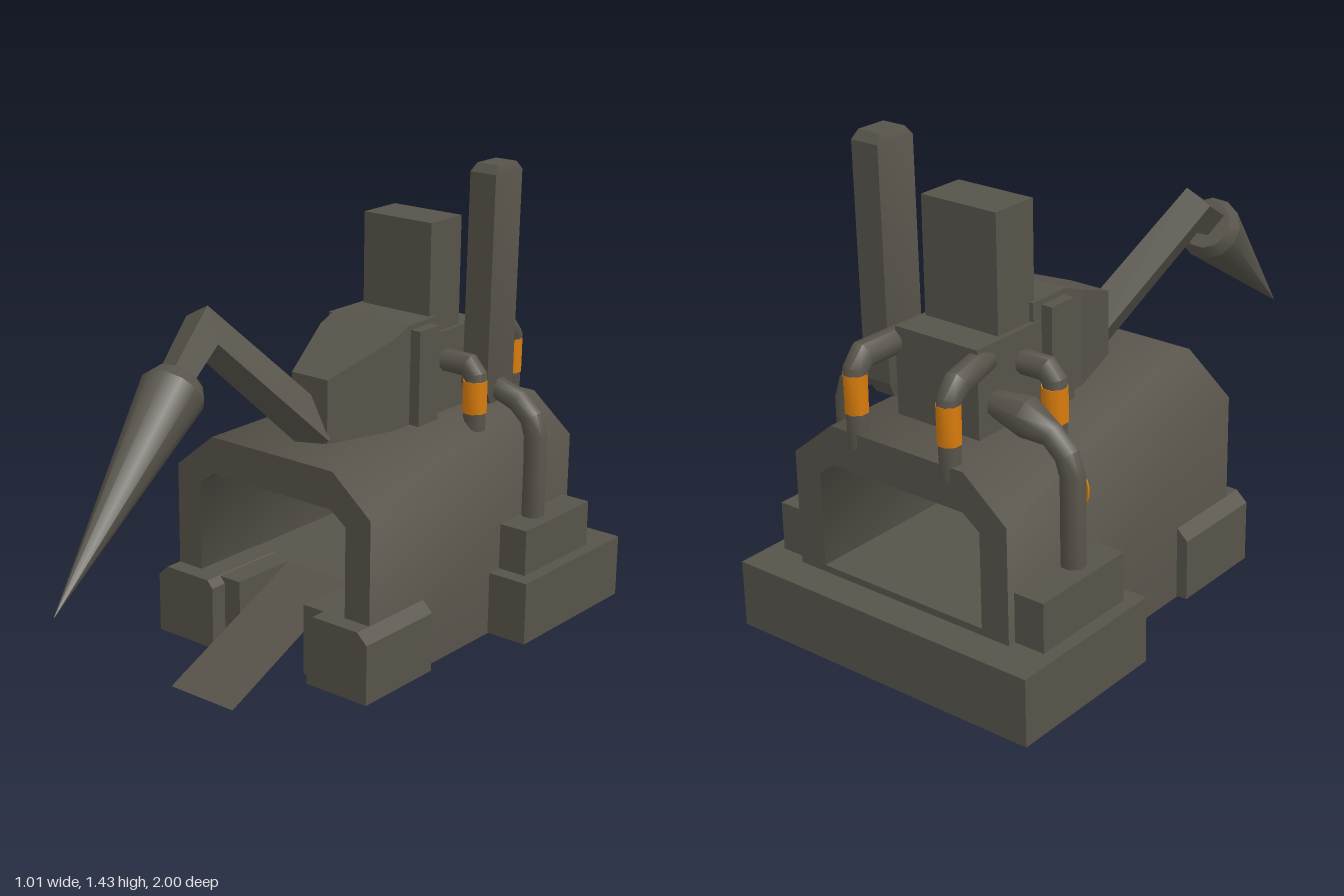
import * as THREE from 'three';
import { toCreasedNormals } from 'three/addons/utils/BufferGeometryUtils.js';

const V = (x, y, z) => new THREE.Vector3(x, y, z);

export function createModel() {
  const group = new THREE.Group();
  const metal = new THREE.MeshStandardMaterial({ color: 0x57534a });
  metal.name = 'darkMetal';
  const orange = new THREE.MeshStandardMaterial({ color: 0xd97c0c });
  orange.name = 'glowOrange';
  const thinMetal = new THREE.MeshStandardMaterial({ color: 0x57534a, side: THREE.DoubleSide });
  thinMetal.name = 'rampMetal';

  function add(name, geometry, material = metal, crease = 0.4) {
    const mesh = new THREE.Mesh(toCreasedNormals(geometry, crease), material);
    mesh.name = name;
    group.add(mesh);
    return mesh;
  }

  // Box given by its extents
  function box(name, x0, x1, y0, y1, z0, z1) {
    const g = new THREE.BoxGeometry(x1 - x0, y1 - y0, z1 - z0);
    g.translate((x0 + x1) / 2, (y0 + y1) / 2, (z0 + z1) / 2);
    return add(name, g);
  }

  // Rectangular sections along z: [z, x0, x1, y0, y1]
  function sectioned(sections) {
    const n = sections.length - 1;
    const g = new THREE.BoxGeometry(1, 1, n, 1, 1, n);
    const p = g.attributes.position;
    for (let i = 0; i < p.count; i++) {
      const [z, x0, x1, y0, y1] = sections[Math.round(p.getZ(i) + n / 2)];
      p.setXYZ(i, p.getX(i) < 0 ? x0 : x1, p.getY(i) < 0 ? y0 : y1, z);
    }
    return g;
  }

  // Polygon section swept along points with mitred bends; ref is the bend plane normal
  function loft(points, radii, sides, ref) {
    const pos = [], index = [], last = points.length - 1;
    points.forEach((p, i) => {
      const a = points[Math.max(i - 1, 0)], b = points[Math.min(i + 1, last)];
      const before = p.clone().sub(a).normalize(), after = b.clone().sub(p).normalize();
      const t = before.clone().add(after).normalize();
      const mitre = i === 0 || i === last ? 1 : 1 / t.dot(after);
      const s = ref.clone().addScaledVector(t, -ref.dot(t)).normalize();
      const n = t.clone().cross(s);
      for (let j = 0; j < sides; j++) {
        const angle = ((j + 0.5) / sides) * Math.PI * 2;
        pos.push(...p.clone().addScaledVector(s, radii[i] * Math.cos(angle))
          .addScaledVector(n, radii[i] * mitre * Math.sin(angle)).toArray());
      }
    });
    for (let i = 0; i < last; i++) for (let j = 0; j < sides; j++) {
      const a = i * sides + j, b = i * sides + (j + 1) % sides;
      index.push(a, b, a + sides, b, b + sides, a + sides);
    }
    const end = last * sides;
    for (let j = 1; j < sides - 1; j++) index.push(0, j + 1, j, end, end + j, end + j + 1);
    const g = new THREE.BufferGeometry();
    g.setAttribute('position', new THREE.Float32BufferAttribute(pos, 3));
    g.setIndex(index);
    return g;
  }

  function extrude(points, z0, z1) {
    const shape = new THREE.Shape(points.map(([x, y]) => new THREE.Vector2(x, y)));
    const g = new THREE.ExtrudeGeometry(shape, { depth: z1 - z0, bevelEnabled: false });
    return g.translate(0, 0, z0);
  }

  // Tunnel-shaped hull
  const half = [[0.37, 0.01], [0.37, 0.55], [0.23, 0.665]];
  const inner = [[0.225, 0.55], [0.28, 0.51], [0.28, 0.01]];
  const flip = (list) => list.map(([x, y]) => [-x, y]).reverse();
  add('hull', extrude([...half, ...flip(half), ...flip(inner), ...inner], -0.9, 0.1), metal, 0.95);

  // Floor with a slot for the ramp
  box('floor', -0.28, 0.28, 0.01, 0.23, -0.9, -0.12);
  box('floorLeft', 0.125, 0.28, 0.01, 0.23, -0.12, 0.1);
  box('floorRight', -0.28, -0.125, 0.01, 0.23, -0.12, 0.1);
  const ramp = new THREE.PlaneGeometry(0.24, 1);
  const rp = ramp.attributes.position;
  for (let i = 0; i < rp.count; i++) {
    const top = rp.getY(i) > 0;
    rp.setXYZ(i, rp.getX(i) - 0.003, top ? 0.23 : 0, top ? -0.12 : 0.4);
  }
  add('ramp', ramp, thinMetal);

  // Rear base, side plinths and front feet
  box('rearBase', -0.505, 0.505, 0.012, 0.21, -1, -0.485);
  const foot = [[0.185, 0.015], [0.405, 0.015], [0.405, 0.2], [0.37, 0.232], [0.205, 0.232], [0.185, 0.21]];
  for (const s of [1, -1]) {
    const side = s > 0 ? 'left' : 'right';
    box(side + 'Plinth', s > 0 ? 0.36 : -0.465, s > 0 ? 0.465 : -0.36, 0.2, 0.355, -0.875, -0.535);
    add(side + 'Foot', extrude(s > 0 ? foot : flip(foot), -0.15, 0.155));
  }

  // Turret: wedge nose, collar, rear block and tower
  add('turretNose', sectioned([
    [-0.5, -0.14, 0.14, 0.62, 0.975], [-0.36, -0.14, 0.14, 0.62, 0.975],
    [-0.29, -0.14, 0.14, 0.62, 0.947], [-0.07, -0.065, 0.07, 0.62, 0.86],
  ]), metal, 0.2);
  box('turretCollar', -0.175, 0.175, 0.62, 0.96, -0.465, -0.37);
  box('turretRear', -0.145, 0.138, 0.62, 0.92, -0.735, -0.48);
  box('tower', -0.128, 0.125, 0.8, 1.26, -0.63, -0.48);

  // Tall chimney, modelled along z and stood upright
  const chimney = sectioned([
    [0.69, 0.185, 0.25, 0.63, 0.7], [0.74, 0.17, 0.262, 0.595, 0.73],
    [1.405, 0.178, 0.27, 0.595, 0.73], [1.43, 0.188, 0.262, 0.615, 0.71],
  ]);
  add('chimney', chimney.rotateX(-Math.PI / 2));

  const X = V(1, 0, 0), Z = V(0, 0, 1);
  for (const s of [1, -1]) {
    const side = s > 0 ? 'left' : 'right';
    // Side pipe from the plinth over the hull
    const z = -0.665, bulge = s > 0 ? 0.035 : 0.058;
    add(side + 'SidePipe', loft([
      V(s * 0.398, 0.33, z), V(s * 0.398, 0.61, z), V(s * 0.38, 0.665, z),
      V(s * 0.33, 0.71, z), V(s * 0.25, 0.738, z), V(s * 0.13, 0.75, z),
    ], [0.036, 0.036, 0.036, 0.036, bulge, 0.035], 8, Z), metal, 0.9);

    // Front exhaust elbow and its sleeve
    const fx = s * 0.25, fz = -0.55;
    add(side + 'FrontExhaust', loft([
      V(s * 0.12, 0.828, fz), V(s * 0.225, 0.828, fz), V(fx, 0.8, fz), V(fx, 0.63, fz),
    ], [0.035, 0.035, 0.035, 0.035], 8, Z), metal, 0.9);
    add(side + 'FrontSleeve', loft([V(fx, 0.785, fz), V(fx, 0.685, fz)], [0.038, 0.038], 8, Z), orange, 0.9);

    // Rear exhaust elbow and its sleeve
    const bx = s > 0 ? 0.153 : -0.168, startX = s > 0 ? 0.15 : -0.12, bz = -0.877;
    add(side + 'RearExhaust', loft([
      V(startX, 0.872, -0.68), V(bx, 0.872, -0.845), V(bx, 0.84, bz), V(bx, 0.62, bz),
    ], [0.038, 0.038, 0.034, 0.03], 8, X), metal, 0.9);
    add(side + 'RearSleeve', loft([V(bx, 0.83, bz), V(bx, 0.72, bz)], [0.035, 0.034], 8, X), orange, 0.9);
  }

  // Glowing spot on the front of the right pipe
  const spot = new THREE.CylinderGeometry(0.018, 0.018, 0.006, 16).rotateX(Math.PI / 2);
  add('pipeSpot', spot.scale(1, 2.3, 1).translate(-0.406, 0.56, -0.631), orange);

  // Jointed arm ending in a long spike
  const arm = [V(0.02, 0.68, -0.1), V(-0.145, 1.035, 0.225), V(-0.07, 0.935, 0.43)];
  const bend = arm[1].clone().sub(arm[0]).cross(arm[2].clone().sub(arm[1])).normalize();
  add('arm', loft(arm, [0.068, 0.062, 0.05], 4, bend));
  const base = V(-0.08, 0.922, 0.405), tip = V(0.05, 0.47, 1);
  const axis = tip.clone().sub(base);
  const along = (k) => base.clone().addScaledVector(axis, k);
  add('spike', loft([along(-0.03), along(0.02), tip], [0.075, 0.096, 0.001], 12, X), metal, 0.6);

  return group;
}
